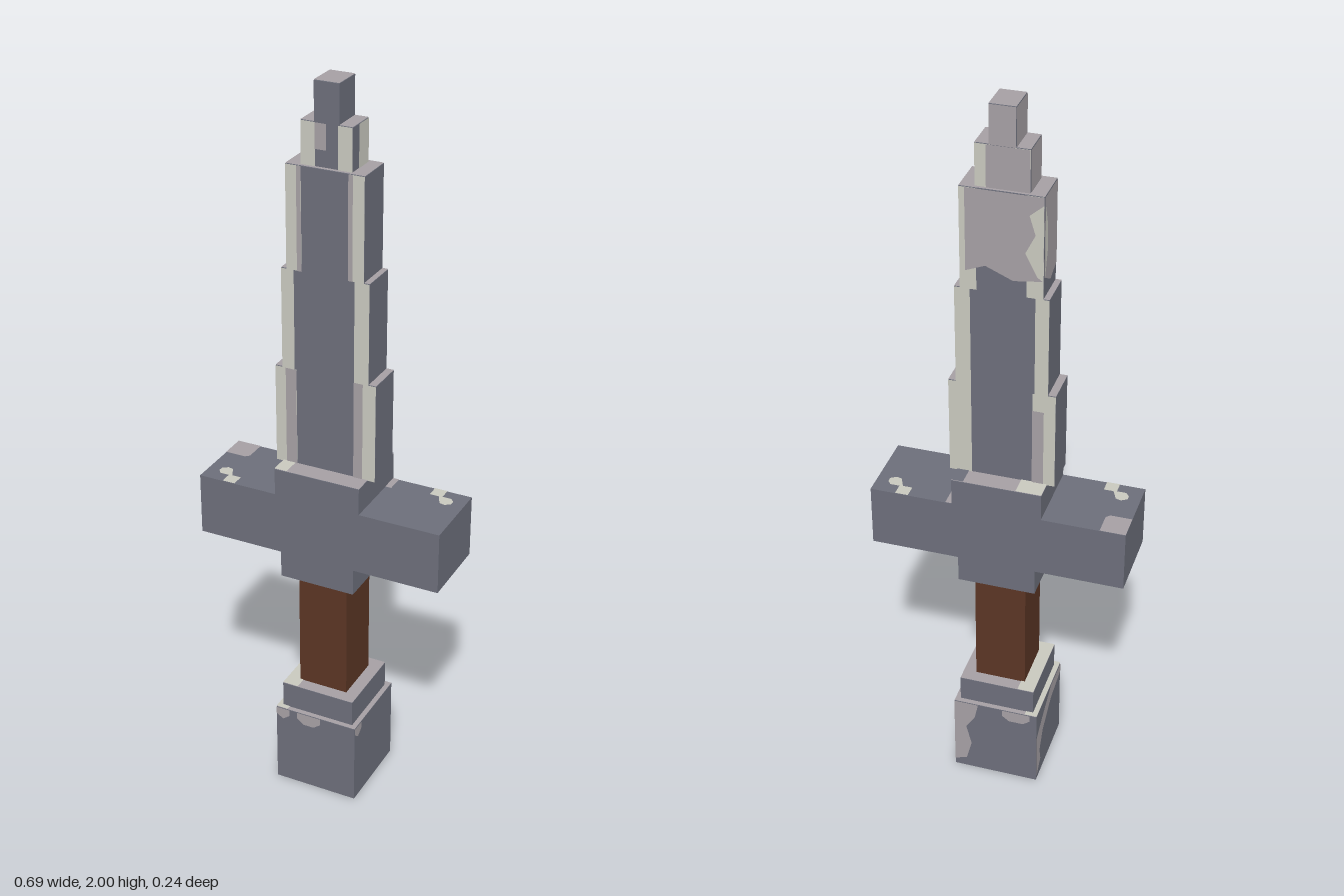
import * as THREE from 'three';

const mat = (name, color) => {
  const m = new THREE.MeshStandardMaterial({ color });
  m.name = name;
  return m;
};

export function createModel() {
  const slate = mat('slate metal', 0x6c6e7a);
  const worn = mat('worn metal', 0xa59fa3);
  const bright = mat('bright steel', 0xc8c8be);
  const leather = mat('brown grip', 0x5a3524);

  const model = new THREE.Group();
  model.name = 'sword';

  const add = (name, geometry, material) => {
    const mesh = new THREE.Mesh(geometry, material);
    mesh.name = name;
    model.add(mesh);
  };

  // Centred block given by half width, bottom, top and half depth
  const block = (name, hx, y0, y1, hz, material = slate) =>
    add(name, new THREE.BoxGeometry(2 * hx, y1 - y0, 2 * hz).translate(0, (y0 + y1) / 2, 0), material);

  // Painted patch on a block face. Coordinates: front/back (x, y), left/right (z, y), top (x, z)
  const patch = (name, face, dist, material, pts, lift = 0.0015) => {
    const sign = { back: [-1, 1], left: [-1, 1], top: [1, -1] }[face] || [1, 1];
    const shape = new THREE.Shape(pts.map(([u, v]) => new THREE.Vector2(u * sign[0], v * sign[1])));
    const g = new THREE.ShapeGeometry(shape).translate(0, 0, dist + lift);
    if (face === 'back') g.rotateY(Math.PI);
    if (face === 'left') g.rotateY(Math.PI / 2);
    if (face === 'right') g.rotateY(-Math.PI / 2);
    if (face === 'top') g.rotateX(-Math.PI / 2);
    add(name, g, material);
  };
  const rect = (u0, u1, v0, v1) => [[u0, v0], [u1, v0], [u1, v1], [u0, v1]];

  // Pommel, grip and guard
  block('pommel', 0.119, 0, 0.237, 0.119);
  block('pommelCollar', 0.105, 0.237, 0.312, 0.105);
  block('grip', 0.07, 0.312, 0.661, 0.07, leather);
  block('guardCollar', 0.105, 0.661, 0.735, 0.105);
  block('crossguard', 0.343, 0.735, 0.906, 0.105);
  block('guardTop', 0.12, 0.906, 0.98, 0.105);

  // Blade tiers: half width, bottom, top, half depth, dark core from, dark core to
  const tiers = [
    [0.14, 0.98, 1.25, 0.052, -0.08, 0.08],
    [0.12, 1.25, 1.52, 0.052, -0.085, 0.08],
    [0.105, 1.52, 1.79, 0.052, -0.063, 0.063],
    [0.068, 1.79, 1.9, 0.042, -0.03, 0.03],
    [0.033, 1.9, 2, 0.042],
  ];
  tiers.forEach(([hx, y0, y1, hz, c0, c1], i) => {
    block('bladeTier' + (i + 1), hx, y0, y1, hz);
    patch('tierTop', 'top', y1, worn, rect(-hx, hx, -hz, hz));
    if (i > 3) return;
    for (const face of ['front', 'back']) {
      patch('cuttingEdge', face, hz, bright, rect(-hx, c0, y0, y1));
      patch('cuttingEdge', face, hz, bright, rect(c1, hx, y0, y1));
    }
  });

  // Worn bands beside the bright edges
  patch('wornBand', 'front', 0.052, worn, rect(-0.11, -0.08, 0.98, 1.25), 0.003);
  patch('wornBand', 'front', 0.052, worn, rect(0.08, 0.105, 0.98, 1.25), 0.003);
  patch('wornBand', 'front', 0.052, worn, rect(-0.075, -0.063, 1.52, 1.79), 0.003);
  patch('wornBand', 'front', 0.052, worn, rect(0.063, 0.075, 1.52, 1.79), 0.003);
  patch('wornBand', 'front', 0.042, worn, rect(-0.03, 0, 1.835, 1.9), 0.003);
  patch('wornBand', 'back', 0.052, worn, rect(-0.11, -0.08, 0.98, 1.2), 0.003);

  // Worn upper blade on the back and right sides
  patch('wornBack', 'back', 0.052, worn,
    [[0.09, 1.79], [0.09, 1.57], [0.04, 1.59], [-0.03, 1.56], [-0.105, 1.57], [-0.105, 1.79]], 0.003);
  patch('brightChip', 'back', 0.052, bright,
    [[-0.105, 1.77], [-0.07, 1.74], [-0.085, 1.69], [-0.06, 1.64], [-0.09, 1.58], [-0.105, 1.57]], 0.0045);
  patch('wornSide', 'right', 0.105, worn,
    [[-0.052, 1.79], [0.052, 1.79], [0.052, 1.57], [0, 1.55], [-0.052, 1.58]]);
  patch('brightChip', 'right', 0.105, bright,
    [[-0.052, 1.77], [-0.035, 1.72], [-0.03, 1.65], [-0.052, 1.58]], 0.003);
  patch('wornBack', 'back', 0.042, worn, rect(-0.068, 0.04, 1.79, 1.9), 0.003);
  patch('wornSide', 'right', 0.068, worn, rect(-0.042, 0.042, 1.79, 1.9));
  patch('brightSide', 'left', 0.068, bright, rect(-0.042, 0.01, 1.79, 1.9));
  patch('wornTip', 'back', 0.042, worn, rect(-0.033, 0.033, 1.9, 2));
  patch('wornTip', 'right', 0.033, worn, rect(-0.042, 0.042, 1.9, 2));

  // Guard top surfaces
  patch('guardTopWear', 'top', 0.98, worn, rect(-0.12, 0.12, -0.105, 0.105));
  patch('guardTopChip', 'top', 0.98, bright, rect(-0.12, -0.052, -0.105, -0.052), 0.003);
  patch('guardTopChip', 'top', 0.98, bright, rect(-0.12, -0.085, 0.052, 0.105), 0.003);
  patch('guardTopShade', 'top', 0.98, slate, rect(0.088, 0.12, -0.105, -0.052), 0.003);
  patch('crossguardWear', 'top', 0.906, worn,
    [[-0.343, -0.105], [-0.275, -0.105], [-0.275, -0.045], [-0.285, -0.035], [-0.343, -0.035]]);
  patch('crossguardWear', 'top', 0.906, worn, rect(0.12, 0.137, -0.105, -0.055));
  for (const s of [1, -1]) {
    const blot = (pts) => patch('crossguardChip', 'top', 0.906, bright, pts.map(([x, z]) => [s * x, s * z]));
    blot([[0.24, -0.105], [0.275, -0.105], [0.275, -0.07], [0.24, -0.07]]);
    blot([[0.265, -0.072], [0.3, -0.072], [0.31, -0.06], [0.31, -0.046], [0.295, -0.036], [0.28, -0.04]]);
  }

  // Pommel and collar wear
  patch('collarTop', 'top', 0.312, worn, rect(-0.105, 0.105, -0.105, 0.105));
  patch('collarTopChip', 'top', 0.312, bright, rect(-0.105, -0.06, -0.105, 0.105), 0.003);
  patch('pommelTop', 'top', 0.237, worn, rect(-0.119, 0.119, -0.119, 0.119));
  patch('pommelTopChip', 'top', 0.237, bright, rect(-0.119, -0.085, -0.119, 0.119), 0.003);
  const notch = (u0, u1) =>
    [[u0, 0.237], [u0, 0.218], [u0 + 0.02, 0.203], [u1 - 0.02, 0.203], [u1, 0.218], [u1, 0.237]];
  patch('pommelNotch', 'front', 0.119, worn, notch(-0.055, 0.015));
  patch('pommelNotch', 'front', 0.119, worn, notch(-0.119, -0.079));
  patch('pommelNotch', 'left', 0.119, worn, notch(0.079, 0.119));
  patch('pommelNotch', 'back', 0.119, worn, notch(-0.1, -0.02));
  patch('pommelWear', 'back', 0.119, worn,
    [[0.119, 0.237], [0.05, 0.237], [0.06, 0.19], [0.085, 0.15], [0.07, 0.09], [0.085, 0.03], [0.119, 0.02]]);
  patch('pommelWear', 'right', 0.119, worn,
    [[-0.119, 0.16], [-0.07, 0.19], [0.02, 0.237], [0.119, 0.237], [0.119, 0.21], [0.02, 0.19],
      [-0.06, 0.14], [-0.09, 0.09], [-0.08, 0.05], [-0.119, 0.01]]);

  return model;
}
